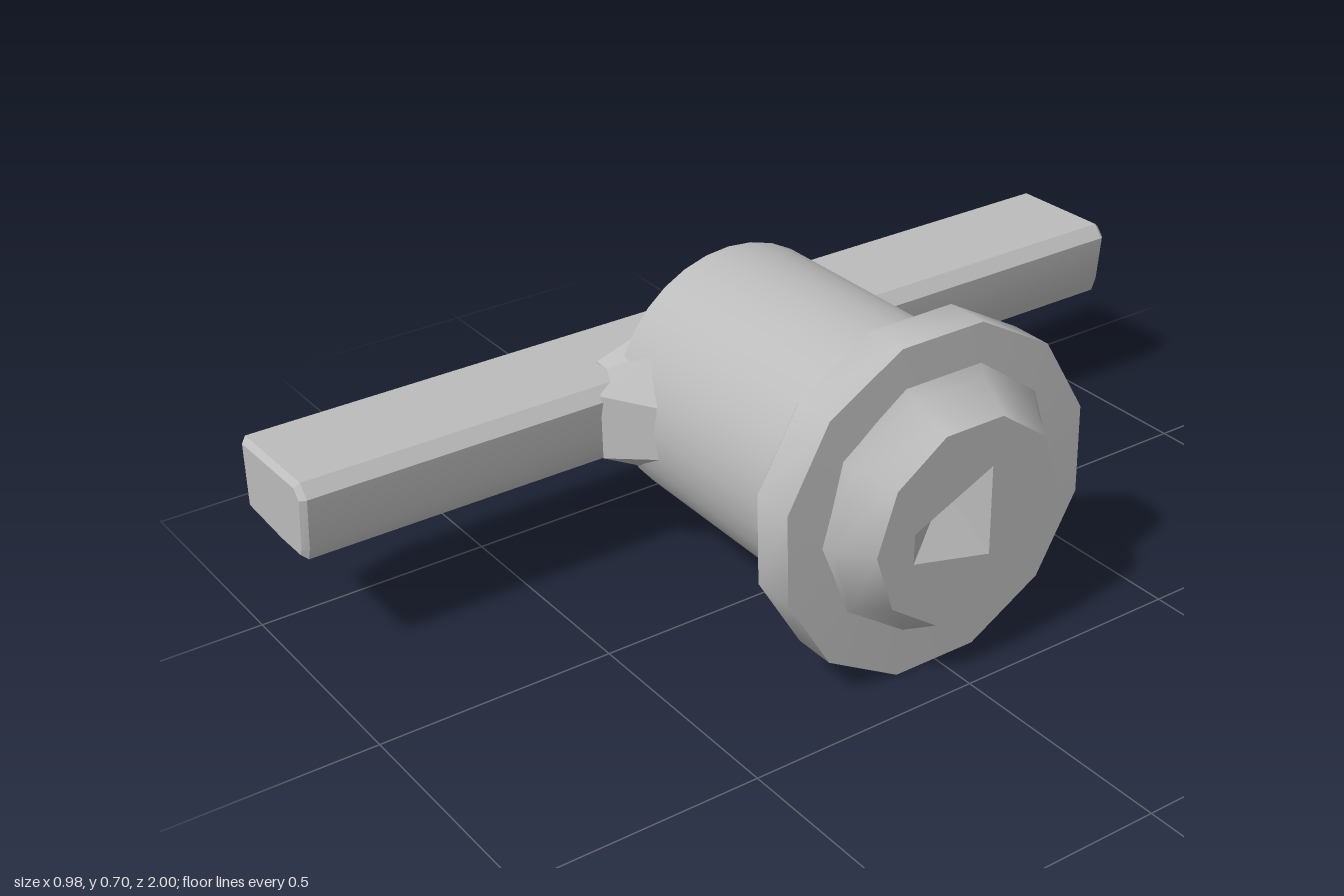
import * as THREE from 'three';
import { toCreasedNormals } from 'three/addons/utils/BufferGeometryUtils.js';
import { ConvexGeometry } from 'three/addons/geometries/ConvexGeometry.js';

const CENTER_Y = 0.353;
const v2 = ([x, y]) => new THREE.Vector2(x, y);

// Turned part around the x axis; profile is a list of [radius, x]
function turned(profile, sides, crease, offset = 0) {
  const geo = new THREE.LatheGeometry(profile.map(v2), sides, offset);
  geo.rotateZ(-Math.PI / 2);
  return toCreasedNormals(geo, crease);
}

// Lean the nose so its lower edge sits slightly further back
const lean = new THREE.Matrix4().set(
  1, 0.04, 0, -0.006,
  0, 1, 0, 0,
  0, 0, 1, 0,
  0, 0, 0, 1);

export function createModel() {
  const model = new THREE.Group();
  model.name = 'drumWithCrossbar';
  const grey = new THREE.MeshStandardMaterial({ color: 0xbcbcbc });
  grey.name = 'plain grey';

  const add = (name, geo, y = CENTER_Y) => {
    const mesh = new THREE.Mesh(geo, grey);
    mesh.name = name;
    mesh.position.y = y;
    model.add(mesh);
  };

  // Smooth drum, closed at the back
  add('drum', turned([[0, -0.29], [0.281, -0.29], [0.284, 0.24]], 32, 0.5));

  // Twelve-sided collar with a sloped back and a flat rim
  add('collar', turned(
    [[0.27, 0.205], [0.364, 0.3], [0.364, 0.393], [0.22, 0.398]],
    12, 0.6, Math.PI / 12));

  // Tapered nose
  const noseSides = 10;
  const nose = turned([[0.285, 0.393], [0.262, 0.415], [0.217, 0.488]], noseSides, 0.64);
  add('nose', nose.applyMatrix4(lean));

  // Nose face with an angular opening
  const ring = [];
  for (let i = 0; i < noseSides; i++) {
    const a = (i / noseSides) * Math.PI * 2;
    ring.push(new THREE.Vector2(Math.cos(a) * 0.217, Math.sin(a) * 0.217));
  }
  const pit = [[-0.13, 0.02], [-0.13, -0.045], [0.055, -0.09], [0.05, 0.105]];
  const face = new THREE.Shape(ring);
  face.holes.push(new THREE.Path(pit.map(v2)));
  const faceGeo = new THREE.ShapeGeometry(face);
  faceGeo.rotateY(Math.PI / 2);
  faceGeo.translate(0.488, 0, 0);
  add('noseFace', faceGeo.applyMatrix4(lean));

  // Pointed recess behind the opening
  const walls = [];
  pit.forEach((p, i) => {
    const q = pit[(i + 1) % pit.length];
    walls.push(...p, 0, ...q, 0, 0.02, 0.02, -0.1);
  });
  const recess = new THREE.BufferGeometry();
  recess.setAttribute('position', new THREE.Float32BufferAttribute(walls, 3));
  recess.computeVertexNormals();
  recess.rotateY(Math.PI / 2);
  recess.translate(0.488, 0, 0);
  add('recess', recess.applyMatrix4(lean));

  // Long crossbar with chamfered ends
  const section = new THREE.Shape([
    [-0.492, 0.278], [-0.345, 0.27], [-0.255, 0.272], [-0.245, 0.3],
    [-0.232, 0.41], [-0.255, 0.437], [-0.492, 0.432],
  ].map(v2));
  const bar = new THREE.ExtrudeGeometry(section, {
    depth: 1.976, bevelThickness: 0.012, bevelSize: 0.01, bevelOffset: -0.01, bevelSegments: 1,
  });
  bar.translate(0, 0, -0.988);
  add('crossbar', toCreasedNormals(bar, 0.6), 0);

  // Web blending the drum's back into the bar
  const web = [];
  for (const s of [-1, 1]) {
    for (const t of [-1, 1]) {
      web.push(
        new THREE.Vector3(-0.345, t * 0.085, s * 0.29),
        new THREE.Vector3(-0.285, t * 0.16, s * 0.2),
        new THREE.Vector3(-0.23, t * 0.08, s * 0.29));
    }
  }
  add('backWeb', toCreasedNormals(new ConvexGeometry(web), 0.6));

  // Gussets in the corners between drum and bar
  for (const s of [-1, 1]) {
    const points = [
      new THREE.Vector3(-0.2, 0.14, s * 0.238),
      new THREE.Vector3(-0.27, -0.14, s * 0.24),
    ];
    for (const t of [-1, 1]) {
      points.push(
        new THREE.Vector3(-0.236, t * 0.07, s * 0.35),
        new THREE.Vector3(-0.215, t * 0.07, s * 0.31),
        new THREE.Vector3(-0.145, t * 0.058, s * 0.275),
        new THREE.Vector3(-0.335, t * 0.075, s * 0.29));
    }
    const gusset = toCreasedNormals(new ConvexGeometry(points), 0.6);
    add(s > 0 ? 'frontGusset' : 'backGusset', gusset);
  }
  return model;
}
